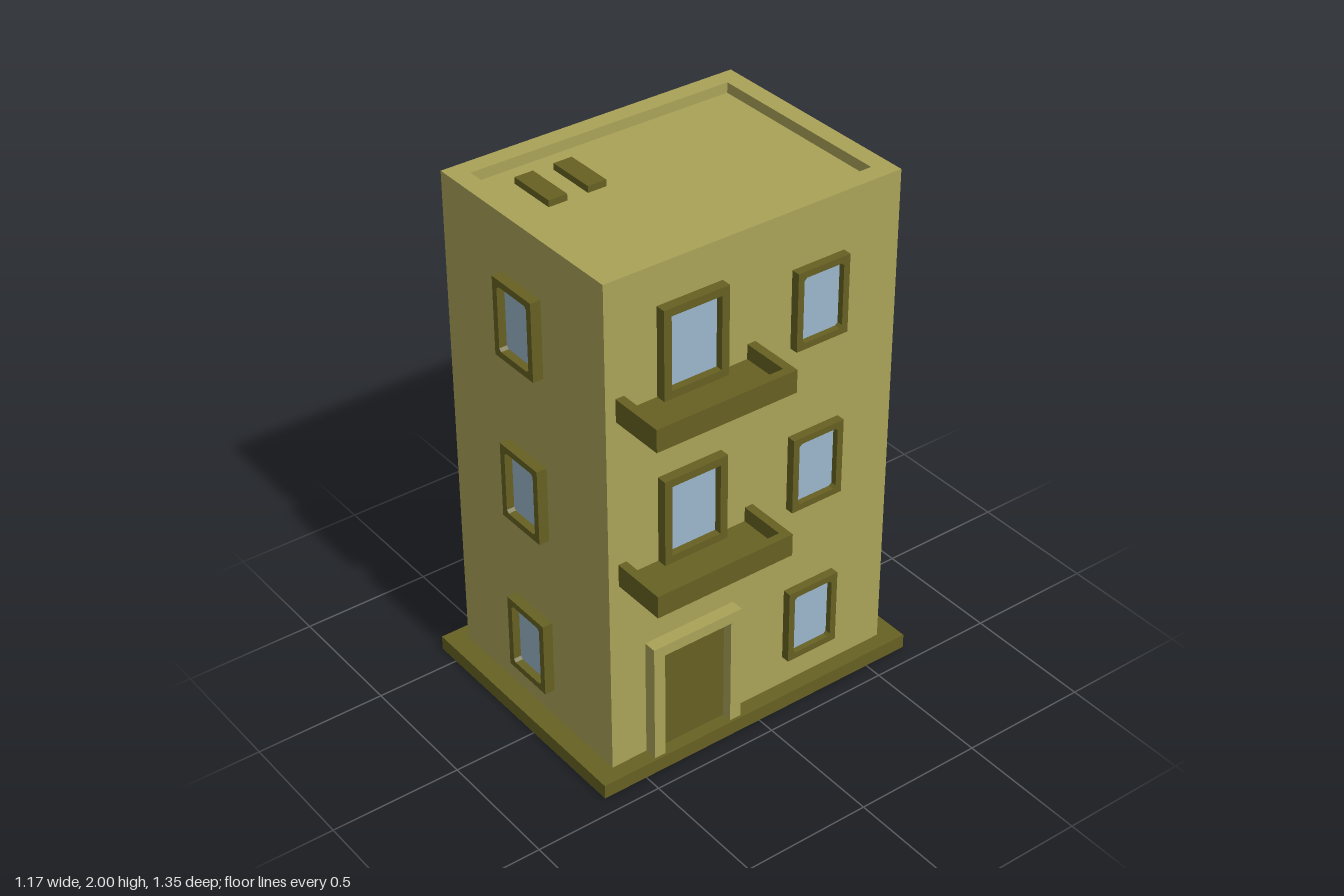
import * as THREE from 'three';

const material = (name, color) => {
  const m = new THREE.MeshStandardMaterial({ color });
  m.name = name;
  return m;
};

export function createModel() {
  const wall = material('wall olive', 0xaaa258);
  const trim = material('dark olive trim', 0x676122);
  const glass = material('pale blue glass', 0x9ab6ca);
  const model = new THREE.Group();
  model.name = 'apartmentBlock';

  const add = (parent, name, geometry, mat) => {
    const mesh = new THREE.Mesh(geometry, mat);
    mesh.name = name;
    parent.add(mesh);
    return mesh;
  };
  // Box given by its minimum and maximum corners
  const box = (parent, name, mat, [x0, y0, z0], [x1, y1, z1]) =>
    add(parent, name, new THREE.BoxGeometry(x1 - x0, y1 - y0, z1 - z0)
      .translate((x0 + x1) / 2, (y0 + y1) / 2, (z0 + z1) / 2), mat);
  // Rectangle outline with corners cut by c
  const outline = (x0, y0, x1, y1, c = 0) => {
    const p = c
      ? [[x0 + c, y0], [x1 - c, y0], [x1, y0 + c], [x1, y1 - c],
        [x1 - c, y1], [x0 + c, y1], [x0, y1 - c], [x0, y0 + c]]
      : [[x0, y0], [x1, y0], [x1, y1], [x0, y1]];
    return p.map(([x, y]) => new THREE.Vector2(x, y));
  };
  const extrude = (points, hole, depth) => {
    const shape = new THREE.Shape(points);
    if (hole) shape.holes.push(new THREE.Path(hole));
    return new THREE.ExtrudeGeometry(shape, { depth, bevelEnabled: false });
  };

  // Plinth, walls with a raised rim, and the sunken roof
  box(model, 'plinth', trim, [-0.59, 0, -0.677], [0.43, 0.057, 0.677]);
  const walls = extrude(outline(-0.53, -0.6, 0.37, 0.6), outline(-0.46, -0.53, 0.3, 0.53), 1.943);
  add(model, 'walls', walls.rotateX(-Math.PI / 2).translate(0, 0.057, 0), wall);
  box(model, 'roof', wall, [-0.46, 1.9, -0.53], [0.3, 1.96, 0.53]);
  for (const z of [0.19, 0.345]) {
    box(model, 'roofVent', trim, [-0.372, 1.96, z], [-0.178, 1.985, z + 0.073]);
  }

  // Framed pane facing local +z, standing on local y = 0
  const framedPane = (name, w, h, depth, border, cut) => {
    const g = new THREE.Group();
    g.name = name;
    const x = w / 2, b = border;
    add(g, 'frame', extrude(outline(-x, 0, x, h),
      outline(-x + b, b, x - b, h - b, cut), depth), trim);
    box(g, 'pane', glass, [-x + b / 2, b / 2, 0.002], [x - b / 2, h - b / 2, 0.01]);
    model.add(g);
    return g;
  };

  // Windows on the front, back and left walls of every storey
  for (const y of [0.176, 0.829, 1.481]) {
    framedPane('frontWindow', 0.217, 0.299, 0.04, 0.025, 0.01).position.set(-0.081, y, 0.6);
    const back = framedPane('backWindow', 0.217, 0.299, 0.04, 0.025, 0.01);
    back.position.set(-0.081, y, -0.6);
    back.rotation.y = Math.PI;
    const side = framedPane('sideWindow', 0.217, 0.299, 0.033, 0.025, 0.01);
    side.position.set(0.37, y, -0.257);
    side.rotation.y = Math.PI / 2;
  }

  // Balconies with low parapets and glazed doors
  for (const y of [0.829, 1.481]) {
    const balcony = new THREE.Group();
    balcony.name = 'balcony';
    balcony.position.set(0.37, y, 0);
    model.add(balcony);
    box(balcony, 'balconyFloor', trim, [0, 0, 0], [0.215, 0.03, 0.56]);
    const u = [[0, 0], [0, -0.033], [0.183, -0.033], [0.183, -0.527],
      [0, -0.527], [0, -0.56], [0.215, -0.56], [0.215, 0]]
      .map(([x, v]) => new THREE.Vector2(x, v));
    add(balcony, 'parapet', extrude(u, null, 0.057)
      .rotateX(-Math.PI / 2).translate(0, 0.03, 0), trim);
    const door = framedPane('balconyDoor', 0.26, 0.338, 0.038, 0.03, 0);
    door.position.set(0.37, y + 0.03, 0.267);
    door.rotation.y = Math.PI / 2;
  }

  // Entrance: projecting surround with a recessed door
  const entrance = new THREE.Group();
  entrance.name = 'entrance';
  entrance.position.set(0.37, 0.057, 0.267);
  entrance.rotation.y = Math.PI / 2;
  model.add(entrance);
  const arch = [[-0.188, 0], [-0.142, 0], [-0.142, 0.435], [0.142, 0.435],
    [0.142, 0], [0.188, 0], [0.188, 0.478], [-0.188, 0.478]]
    .map(([x, y]) => new THREE.Vector2(x, y));
  add(entrance, 'surround', extrude(arch, null, 0.05), wall);
  box(entrance, 'entranceDoor', trim, [-0.142, 0, 0.002], [0.142, 0.435, 0.01]);

  return model;
}
